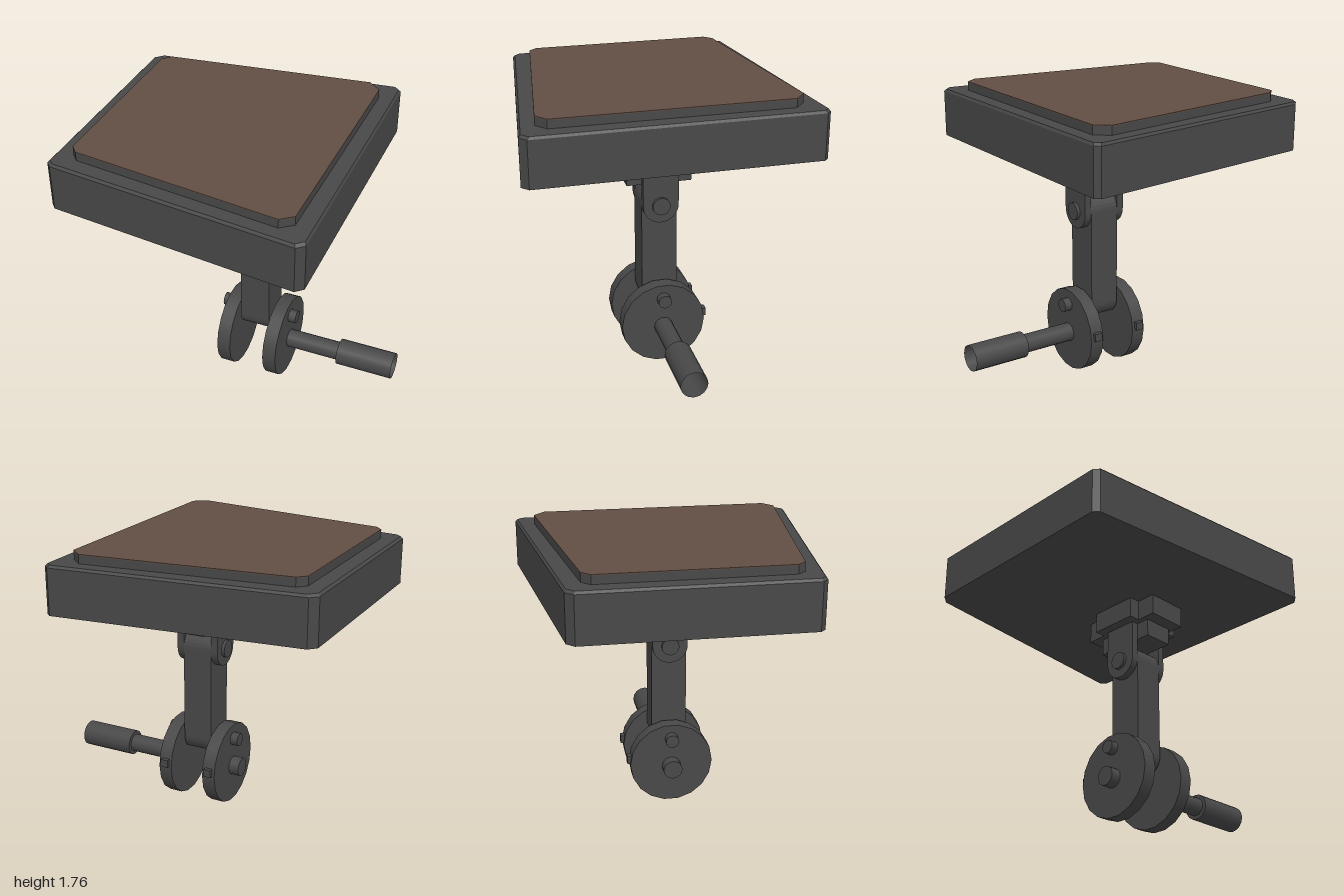
import * as THREE from 'three';
import { ConvexGeometry } from 'three/addons/geometries/ConvexGeometry.js';

const iron = new THREE.MeshStandardMaterial({ name: 'dark iron', color: 0x484848 });
const ironOpen = new THREE.MeshStandardMaterial({ name: 'dark iron open', color: 0x484848, side: THREE.DoubleSide });
const leather = new THREE.MeshStandardMaterial({ name: 'brown pad', color: 0x614d43 });

// Corner-cut plan outlines as [x, z]
const slabPlan = [[-0.96, -0.56], [0.54, -0.885], [0.575, -0.86], [0.75, 0.83], [0.71, 0.875], [-0.83, 0.85], [-0.865, 0.82], [-1, -0.51]];
const padPlan = [[-0.835, -0.475], [0.41, -0.76], [0.495, -0.7], [0.632, 0.715], [0.565, 0.78], [-0.72, 0.745], [-0.77, 0.7], [-0.88, -0.42]];

export function createModel() {
  const model = new THREE.Group();
  model.name = 'crankPlate';

  const add = (parent, name, geometry, material = iron, x = 0, y = 0, z = 0) => {
    const mesh = new THREE.Mesh(geometry, material);
    mesh.name = name;
    mesh.position.set(x, y, z);
    parent.add(mesh);
    return mesh;
  };

  // Solid through the plan at each [height, scale]
  const prism = (plan, levels) => new ConvexGeometry(
    levels.flatMap(([y, s]) => plan.map(([x, z]) => new THREE.Vector3(x * s, y, z * s))));

  // Table slab, raised step and coloured top
  add(model, 'slab', prism(slabPlan, [[1.41, 1], [1.695, 1], [1.71, 0.985]]));
  add(model, 'padBase', prism(padPlan, [[1.7, 1], [1.759, 1]]));
  add(model, 'padTop', prism(padPlan, [[1.759, 1], [1.765, 1]]), leather);

  // Mechanism, turned slightly about y
  const rig = new THREE.Group();
  rig.name = 'crankMechanism';
  rig.position.set(0.09, 0, 0.05);
  rig.rotation.y = 0.1;
  model.add(rig);

  const box = (name, w, y0, y1, d, x = 0, z = 0) =>
    add(rig, name, new THREE.BoxGeometry(w, y1 - y0, d), iron, x, (y0 + y1) / 2, z);
  const rod = (name, r, x0, x1, y, sides = 16) =>
    add(rig, name, new THREE.CylinderGeometry(r, r, x1 - x0, sides).rotateZ(-Math.PI / 2), iron, (x0 + x1) / 2, y, 0);

  // Bar with a round lower end, and optionally a round upper end
  const bar = (name, x0, x1, low, high, roundTop) => {
    const r = 0.11;
    const shape = new THREE.Shape();
    shape.absarc(0, low, r, Math.PI, 2 * Math.PI, false);
    if (roundTop) shape.absarc(0, high, r, 0, Math.PI, false);
    else shape.lineTo(r, high).lineTo(-r, high);
    shape.closePath();
    const geometry = new THREE.ExtrudeGeometry(shape, { depth: x1 - x0, bevelEnabled: false, curveSegments: 8 });
    add(rig, name, geometry.rotateY(Math.PI / 2), iron, x0);
  };

  // Cross-shaped mount under the slab
  box('mountLong', 0.26, 1.28, 1.41, 0.56);
  box('mountWide', 0.4, 1.28, 1.41, 0.31);
  box('mountLower', 0.19, 1.17, 1.28, 0.4);

  // Connecting rod with its hinge pins
  bar('connectingRod', -0.095, 0.095, 0.44, 1.04, true);
  rod('upperPin', 0.055, -0.16, 0.16, 1.04);
  rod('crankPin', 0.042, -0.247, 0.247, 0.435, 12);

  // Fork arms, crank discs and their rear lugs
  for (const [side, s] of [['right', -1], ['left', 1]]) {
    bar(side + 'ForkArm', s * 0.1175 - 0.0225, s * 0.1175 + 0.0225, 1.04, 1.28, false);
    rod(side + 'CrankDisc', 0.263, s * 0.155 - 0.043, s * 0.155 + 0.043, 0.265, 18);
    box(side + 'DiscLug', 0.05, 0.27, 0.32, 0.06, s * 0.155, -0.25);
  }

  // Axle stub, shaft and hollow hand grip
  rod('axleStub', 0.06, -0.265, -0.15, 0.245);
  rod('handleShaft', 0.058, 0.15, 0.56, 0.245);
  const gripProfile = [[0.05, 0.54], [0.082, 0.54], [0.082, 0.9]].map(([r, x]) => new THREE.Vector2(r, x));
  const rim = new THREE.LatheGeometry(gripProfile.slice(0, 2), 16).rotateZ(-Math.PI / 2);
  const sleeve = new THREE.LatheGeometry(gripProfile.slice(1), 16).rotateZ(-Math.PI / 2);
  add(rig, 'gripRim', rim, ironOpen, 0, 0.245);
  add(rig, 'gripSleeve', sleeve, ironOpen, 0, 0.245);

  return model;
}
